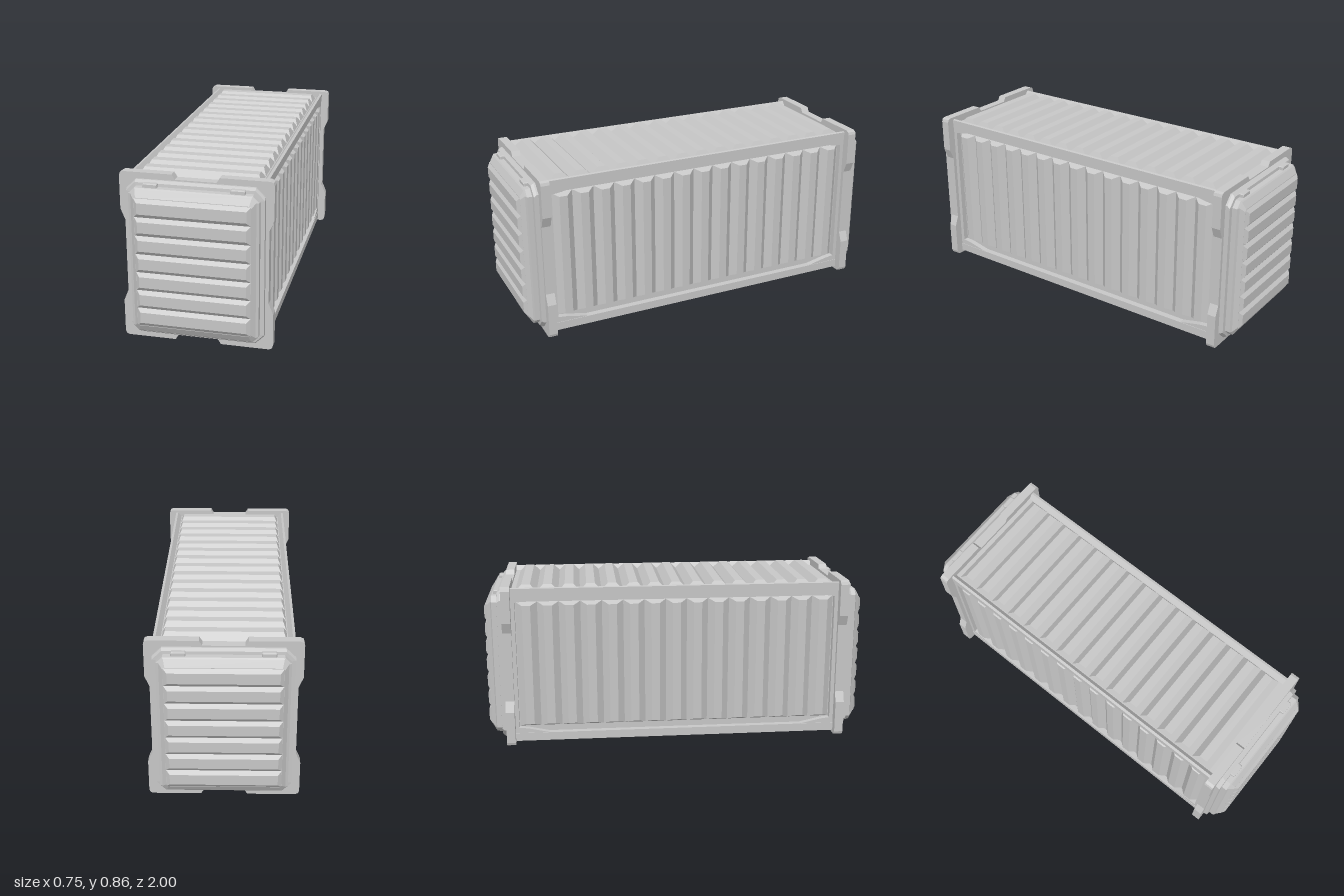
import * as THREE from 'three';

const MID = 0.4285; // half the height
const grey = new THREE.MeshStandardMaterial({ color: 0xc6c6c6 });
grey.name = 'grey metal';

function add(parent, geometry, name) {
  const mesh = new THREE.Mesh(geometry, grey);
  mesh.name = name;
  parent.add(mesh);
  return mesh;
}

function group(parent, name) {
  const g = new THREE.Group();
  g.name = name;
  parent.add(g);
  return g;
}

// Rectangle with optional cut corners, counter-clockwise
function ring(z, w, h, c) {
  const pts = c
    ? [[w, -h + c], [w, h - c], [w - c, h], [-w + c, h], [-w, h - c], [-w, -h + c], [-w + c, -h], [w - c, -h]]
    : [[w, -h], [w, h], [-w, h], [-w, -h]];
  return pts.map(([x, y]) => [x, y, z]);
}

// Flat-faced loft through rings of rising z, closed at the front
function loft(sections) {
  const rings = sections.map((s) => ring(...s));
  const n = rings[0].length;
  const pos = [];
  for (let k = 0; k + 1 < rings.length; k++) {
    for (let i = 0; i < n; i++) {
      const j = (i + 1) % n;
      const [a, b, c, d] = [rings[k][i], rings[k][j], rings[k + 1][j], rings[k + 1][i]];
      pos.push(...a, ...b, ...c, ...a, ...c, ...d);
    }
  }
  const last = rings[rings.length - 1];
  for (let i = 1; i + 1 < n; i++) pos.push(...last[0], ...last[i], ...last[i + 1]);
  const geometry = new THREE.BufferGeometry();
  geometry.setAttribute('position', new THREE.Float32BufferAttribute(pos, 3));
  geometry.computeVertexNormals();
  return geometry;
}

// Row of bevelled ridges, running along x, stacked along y, facing +z
function ribPanel(parent, name, { count, pitch, flat, half, inset, depth }) {
  const panel = group(parent, name);
  const rib = loft([[0, half, pitch / 2, 0], [depth, half - inset, flat / 2, 0]]);
  for (let i = 0; i < count; i++) {
    add(panel, rib, 'rib').position.y = (i - (count - 1) / 2) * pitch;
  }
  return panel;
}

function extrude(shape, depth) {
  return new THREE.ExtrudeGeometry(shape, { depth, bevelEnabled: false });
}

const toShape = (pts) => new THREE.Shape(pts.map(([x, y]) => new THREE.Vector2(x, y)));

// Reflects a quarter outline (from the +x axis to the +y axis) into a closed one
function fourWay(q) {
  const r = [...q].reverse();
  return [
    ...q,
    ...r.map(([x, y]) => [-x, y]),
    ...q.map(([x, y]) => [-x, -y]),
    ...r.map(([x, y]) => [x, -y]),
  ];
}

export function createModel() {
  const model = new THREE.Group();
  model.name = 'cargoContainer';
  const body = group(model, 'body');
  body.position.y = MID;

  add(body, new THREE.BoxGeometry(0.6, 0.78, 1.74), 'core');

  // Long corner rails with a sloping inner lip above the roof and floor
  const railProfile = [[0.29, 0.37], [0.333, 0.37], [0.333, 0.413], [0.32, 0.416], [0.298, 0.388], [0.29, 0.388]];
  for (const sx of [1, -1]) {
    for (const sy of [1, -1]) {
      const rail = extrude(toShape(railProfile.map(([x, y]) => [x * sx, y * sy])), 1.74);
      add(body, rail, 'cornerRail').position.z = -0.87;
    }
  }

  // Roof and floor
  for (const [name, turn] of [['roof', 0], ['floor', Math.PI]]) {
    const side = group(body, name);
    side.rotation.z = turn;
    const panel = ribPanel(side, name + 'Ribs', {
      count: 15, pitch: 0.1115, flat: 0.045, half: 0.295, inset: 0.016, depth: 0.035,
    });
    panel.rotation.x = -Math.PI / 2;
    panel.position.y = 0.39;
  }

  // Side walls: opening with gusseted corners, upright ribs inside
  const wall = toShape(fourWay([[0.87, 0.38]]));
  wall.holes.push(new THREE.Path(
    fourWay([[0.84, 0.34], [0.79, 0.346], [0.68, 0.37]]).map(([x, y]) => new THREE.Vector2(x, y)),
  ));
  const wallGeometry = extrude(wall, 0.04).rotateY(Math.PI / 2);
  const upright = new THREE.Matrix4().makeBasis(
    new THREE.Vector3(0, 1, 0), new THREE.Vector3(0, 0, 1), new THREE.Vector3(1, 0, 0),
  );
  for (const [name, turn] of [['leftWall', 0], ['rightWall', Math.PI]]) {
    const side = group(body, name);
    side.rotation.y = turn;
    add(side, wallGeometry, 'wallFrame').position.x = 0.29;
    const panel = ribPanel(side, 'wallRibs', {
      count: 15, pitch: 0.1115, flat: 0.043, half: 0.338, inset: 0.016, depth: 0.031,
    });
    panel.quaternion.setFromRotationMatrix(upright);
    panel.position.x = 0.3;
  }

  // Both ends: notched frame, stepped door, ridges and hinges
  const frame = extrude(toShape(fourWay([
    [0.35, 0.185], [0.373, 0.24], [0.373, 0.408], [0.368, 0.422], [0.353, 0.4285],
    [0.115, 0.4285], [0.1, 0.404],
  ])), 0.046);
  const door = loft([
    [0.9, 0.333, 0.398, 0.045], [0.915, 0.333, 0.398, 0.045], [0.93, 0.333, 0.387, 0.045],
    [0.932, 0.313, 0.372, 0.032], [0.958, 0.313, 0.37, 0.03],
    [0.964, 0.3, 0.364, 0.022], [0.985, 0.28, 0.33, 0.01],
  ]);
  const hinge = loft([[0.92, 0.035, 0.013, 0.004], [0.946, 0.035, 0.013, 0.004], [0.952, 0.031, 0.009, 0.003]]);
  for (const [name, turn] of [['frontEnd', 0], ['backEnd', Math.PI]]) {
    const end = group(body, name);
    end.rotation.y = turn;
    add(end, frame, 'endFrame').position.z = 0.86;
    add(end, door, 'door');
    const panel = ribPanel(end, 'doorRibs', {
      count: 7, pitch: 0.0935, flat: 0.055, half: 0.279, inset: 0.018, depth: 0.015,
    });
    panel.position.z = 0.985;
    for (const x of [-0.21, 0.21]) add(end, hinge, 'hinge').position.set(x, 0.377, 0);
  }
  return model;
}
